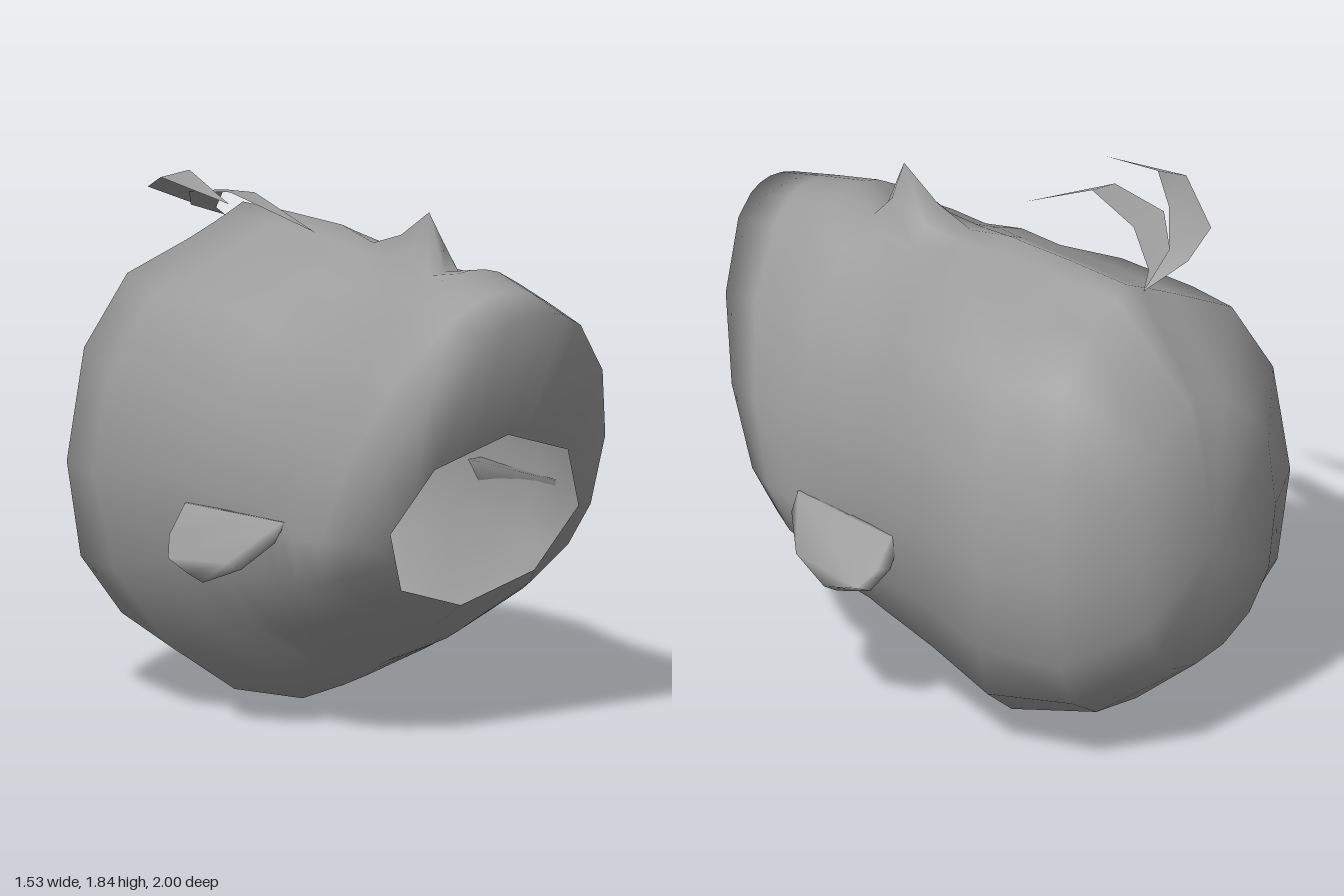
import * as THREE from 'three';
import { mergeVertices } from 'three/addons/utils/BufferGeometryUtils.js';

const material = new THREE.MeshStandardMaterial({ color: 0x9c9c9c, side: THREE.DoubleSide });

function meshFrom(name, geometry) {
  const mesh = new THREE.Mesh(geometry, material);
  mesh.name = name;
  return mesh;
}

// Smooth-shaded geometry with shared corners
function smooth(points, index) {
  const g = new THREE.BufferGeometry();
  g.setAttribute('position', new THREE.Float32BufferAttribute(points, 3));
  if (index) g.setIndex(index);
  const merged = mergeVertices(g, 1e-4);
  merged.computeVertexNormals();
  return merged;
}

// Head lying on its back: rings from the crown (-z) to the open neck (+z).
// zTop, yTop: face point; zBot, yBot: back point; w: half width;
// bulge: z shift of the sides; k: above 1 slopes the cheeks down from the midline;
// q: below 1 squares the sides; nose: ridge height;
// straight: angle from the midline up to which the rim runs in 45 degree chords
const RINGS = [
  { zTop: -1, yTop: 0.8, zBot: -1, yBot: 0.8, w: 0 },
  { zTop: -0.91, yTop: 1.31, zBot: -0.91, yBot: 0.33, w: 0.33, bulge: -0.06, q: 0.78 },
  { zTop: -0.6, yTop: 1.64, zBot: -0.64, yBot: 0.11, w: 0.59, bulge: -0.18, k: 1.15, q: 0.78, straight: 45 },
  { zTop: -0.36, yTop: 1.645, zBot: -0.28, yBot: 0, w: 0.68, bulge: -0.23, k: 1.03, q: 0.95, straight: 45 },
  { zTop: -0.07, yTop: 1.645, zBot: -0.06, yBot: 0.08, w: 0.66, bulge: -0.18, straight: 45 },
  { zTop: 0.1, yTop: 1.59, zBot: 0.06, yBot: 0.13, w: 0.62, bulge: -0.08, k: 1.05, nose: 0.02 },
  { zTop: 0.25, yTop: 1.56, zBot: 0.1, yBot: 0.155, w: 0.6, bulge: -0.03, k: 1.1, nose: 0.1 },
  { zTop: 0.4, yTop: 1.57, zBot: 0.16, yBot: 0.19, w: 0.59, bulge: -0.02, k: 1.2, nose: 0.19 },
  { zTop: 0.48, yTop: 1.57, zBot: 0.2, yBot: 0.21, w: 0.585, k: 1.3 },
  { zTop: 0.63, yTop: 1.6, zBot: 0.28, yBot: 0.26, w: 0.575, k: 1.55 },
  { zTop: 0.82, yTop: 1.555, zBot: 0.36, yBot: 0.31, w: 0.555, k: 1.6 },
  { zTop: 1, yTop: 1.51, zBot: 0.43, yBot: 0.36, w: 0.515, k: 1.6 },
  { zTop: 0.825, yTop: 1.07, zBot: 0.57, yBot: 0.45, w: 0.4, straight: 180 },
];

function head() {
  const half = [6, 12, 22.5, 45, 67.5, 90, 112.5, 135, 157.5];
  const angles = [0, ...half, 180, ...half.map((d) => 360 - d).reverse()];
  const n = angles.length;
  const points = [];
  const index = [];
  const rad = THREE.MathUtils.degToRad;
  RINGS.forEach(({ zTop, yTop, zBot, yBot, w, bulge = 0, k = 1, q = 1, nose = 0, straight = 0 }, r) => {
    angles.forEach((deg, i) => {
      const fromMid = Math.min(deg, 360 - deg);
      const scale = fromMid <= straight ? Math.cos(rad(22.5)) / Math.cos(rad((deg % 45) - 22.5)) : 1;
      const cos = Math.cos(rad(deg)) * scale;
      const s = Math.sin(rad(deg)) * scale;
      const c = Math.sign(cos) * Math.abs(cos) ** q;
      const t = c > 0 ? ((1 + c) / 2) ** k : 0.5 ** k * (1 + c);
      const ridge = fromMid === 0 ? 1 : fromMid === 6 ? 0.45 : 0;
      points.push(
        w * s,
        yBot + (yTop - yBot) * t + nose * ridge,
        zBot + (zTop - zBot) * t + bulge * s * s,
      );
      if (r < RINGS.length - 1) {
        const A = r * n + i;
        const B = r * n + ((i + 1) % n);
        if (r > 0) index.push(A, A + n, B);
        index.push(B, A + n, B + n);
      }
    });
  });
  return meshFrom('head', smooth(points, index));
}

// Ear: a half-disc flap that slants away from the head and thins towards its front end
function ear(side) {
  const outline = [[0.35, 0.77], [0.34, 0.7], [0.23, 0.6], [0.07, 0.535], [-0.06, 0.57], [-0.11, 0.65], [-0.11, 0.77]];
  const shape = new THREE.Shape(outline.map(([z, y]) => new THREE.Vector2(-z, y)));
  const g = new THREE.ExtrudeGeometry(shape, { depth: 0.065, bevelEnabled: false });
  g.rotateY(Math.PI / 2);
  const pos = g.attributes.position;
  for (let i = 0; i < pos.count; i++) {
    const x = pos.getX(i);
    const y = pos.getY(i);
    const z = pos.getZ(i);
    const drop = 0.77 - y;
    const thin = Math.min(1, 0.25 + (0.35 - z) * 6);
    pos.setXYZ(i, side * (0.57 + x * thin + drop * 0.56), y + (x > 0.03 ? drop * 0.17 : 0), z);
  }
  // The mirrored ear needs its corner order reversed
  const a = pos.array;
  for (let i = 0; side < 0 && i < a.length; i += 9) {
    for (let k = 3; k < 6; k++) [a[i + k], a[i + k + 3]] = [a[i + k + 3], a[i + k]];
  }
  return meshFrom(side > 0 ? 'leftEar' : 'rightEar', smooth(a));
}

// Hair strand: a thin ribbon between an outer and an inner edge
function strand(name, outer, inner) {
  const n = outer.length;
  const index = [];
  for (let i = 0; i < n - 1; i++) index.push(i, i + n, i + 1, i + 1, i + n, i + n + 1);
  return meshFrom(name, smooth([...outer, ...inner].flat(), index));
}

export function createModel() {
  const group = new THREE.Group();
  const root = [-0.06, 1.6, -0.62];
  const tipA = [-0.47, 1.77, -0.08];
  const tipB = [-0.2, 1.66, 0.04];
  group.add(
    head(),
    ear(1),
    ear(-1),
    strand('outerHairStrand',
      [root, [-0.22, 1.67, -0.675], [-0.37, 1.73, -0.645], [-0.485, 1.81, -0.43], tipA],
      [root, [-0.2, 1.7, -0.61], [-0.32, 1.78, -0.5], [-0.41, 1.835, -0.37], tipA]),
    strand('innerHairStrand',
      [root, [-0.23, 1.66, -0.59], [-0.34, 1.74, -0.46], [-0.34, 1.77, -0.24], tipB],
      [root, [-0.13, 1.64, -0.58], [-0.2, 1.73, -0.45], [-0.26, 1.765, -0.21], tipB]),
  );
  return group;
}
